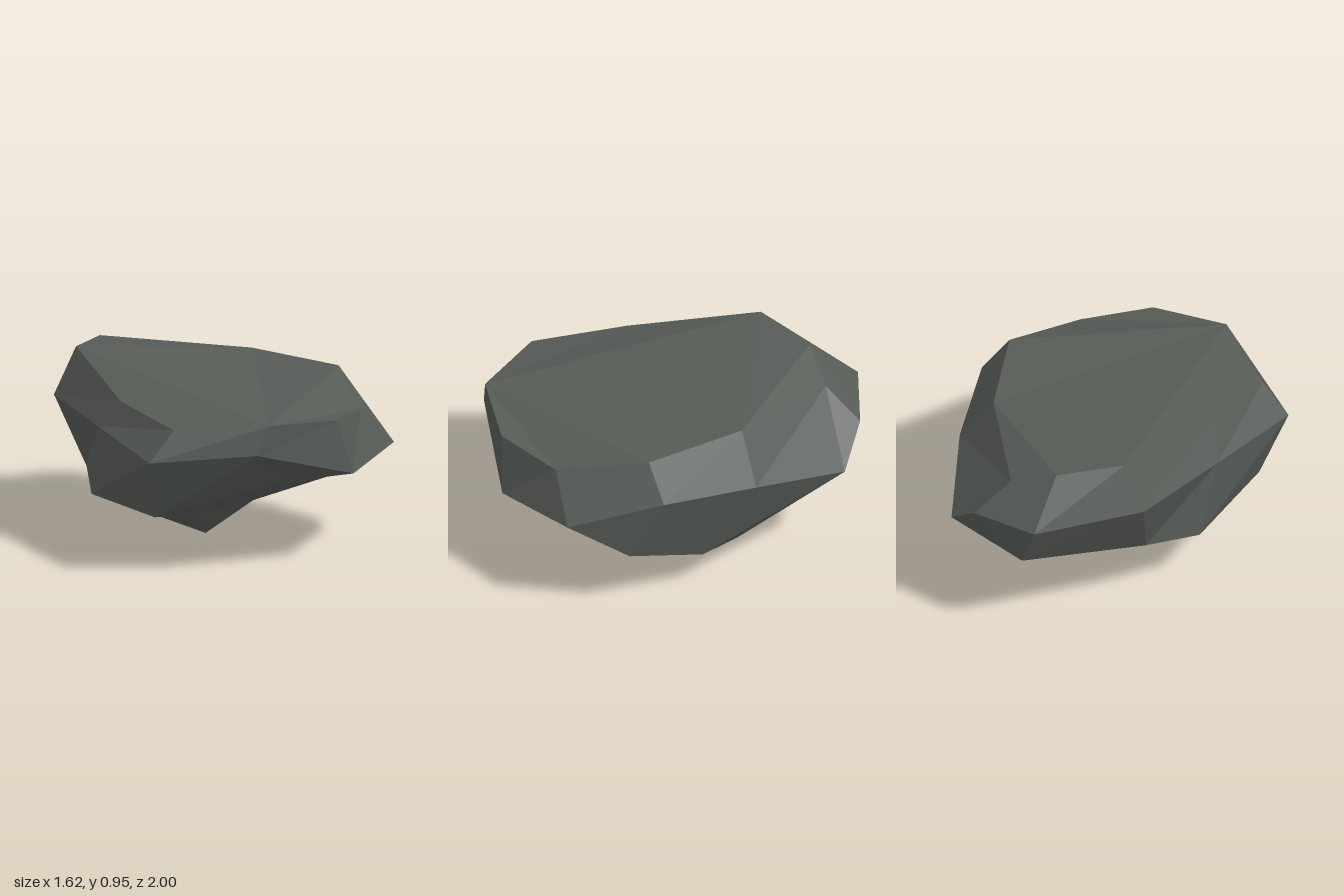
import * as THREE from 'three';

// Rings of the boulder, clockwise seen from above, starting at the back: [x, y, z]
const CROWN = [
  [0.05, 0.92, -0.75], [0.30, 0.82, -0.74], [0.30, 0.82, -0.74], [0.58, 0.865, -0.17],
  [0.67, 0.86, 0.38], [0.42, 0.755, 0.80], [0.08, 0.79, 0.97], [-0.34, 0.825, 0.90],
  [-0.66, 0.79, 0.52], [-0.56, 0.83, 0.03], [-0.27, 0.95, -0.60],
];
const GIRTH = [
  [0.09, 0.705, -1.0], [0.46, 0.67, -0.87], [0.63, 0.50, -0.72], [0.76, 0.62, -0.18],
  [0.81, 0.675, 0.35], [0.64, 0.54, 0.82], [0.17, 0.495, 1.0], [-0.41, 0.675, 0.88],
  [-0.81, 0.635, 0.49], [-0.61, 0.685, -0.09], [-0.39, 0.708, -0.64],
];
const BELLY = [
  [0.18, 0.465, -0.925], [0.38, 0.05, -0.23], [0.67, 0.205, 0.08], [0.73, 0.34, 0.51],
  [-0.03, 0.43, 0.70], [-0.68, 0.305, 0.40], [-0.55, 0.29, -0.20], [-0.34, 0.35, -0.45],
];
const KEEL = [
  [0.19, 0.105, -0.32], [0.08, 0, 0], [0.22, 0.19, 0.21], [-0.22, 0.21, 0.24], [-0.19, 0.135, -0.18],
];

// Joins two rings of unequal count; under[i] is the lower point below upper edge i
function zip(upper, lower, under) {
  const tris = [];
  const n = upper.length, m = lower.length;
  for (let i = 0; i < n; i++) {
    const from = i ? under[i - 1] : under[n - 1] - m;
    for (let k = from; k < under[i]; k++) {
      tris.push([lower[(k + m) % m], upper[i], lower[(k + 1 + m) % m]]);
    }
    tris.push([upper[i], upper[(i + 1) % n], lower[under[i] % m]]);
  }
  return tris;
}

function facetMesh(name, tris, material) {
  const geometry = new THREE.BufferGeometry();
  geometry.setAttribute('position', new THREE.Float32BufferAttribute(tris.flat(2), 3));
  geometry.computeVertexNormals();
  const mesh = new THREE.Mesh(geometry, material);
  mesh.name = name;
  return mesh;
}

export function createModel() {
  const group = new THREE.Group();
  group.name = 'boulder';
  const stone = new THREE.MeshStandardMaterial({ color: 0x565b56 });
  stone.name = 'dark grey stone';
  stone.flatShading = true;

  // Nearly flat top
  const top = [[3, 1, 0], [10, 3, 0], [10, 7, 3], [7, 4, 3], [7, 5, 4], [7, 6, 5], [10, 9, 7], [9, 8, 7]]
    .map((t) => t.map((i) => CROWN[i]));
  group.add(facetMesh('topFace', top, stone));

  // Bevelled rim between the top and the widest ring
  const rim = [];
  GIRTH.forEach((p, i) => {
    const j = (i + 1) % GIRTH.length;
    rim.push([GIRTH[j], p, CROWN[i]]);
    if (CROWN[i].join() !== CROWN[j].join()) rim.push([GIRTH[j], CROWN[i], CROWN[j]]);
  });
  group.add(facetMesh('bevelledRim', rim, stone));

  // Sides tapering inward
  group.add(facetMesh('taperedSides', zip(GIRTH, BELLY, [0, 0, 2, 2, 3, 4, 4, 5, 6, 7, 8]), stone));

  // Underside, closing on the lowest point
  const base = zip(BELLY, KEEL, [0, 2, 2, 2, 3, 4, 4, 5]);
  for (const [a, b] of [[2, 3], [3, 4], [4, 0]]) base.push([KEEL[a], KEEL[b], KEEL[1]]);
  group.add(facetMesh('underside', base, stone));

  return group;
}
